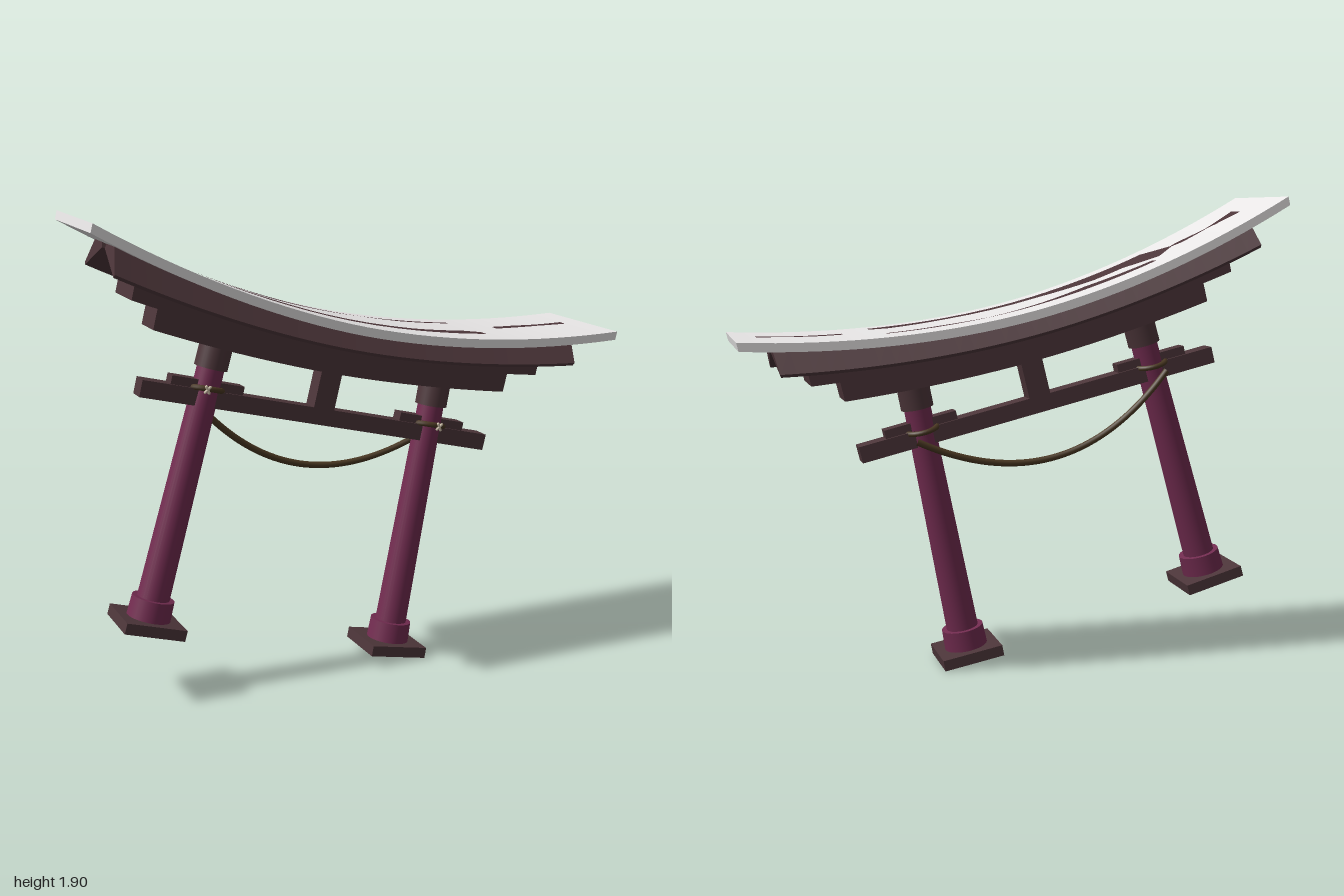
import * as THREE from 'three';

const mat = (name, color) => Object.assign(new THREE.MeshStandardMaterial({ color }), { name });

export function createModel() {
  const timber = mat('dark timber', 0x4d363a);
  const lacquer = mat('plum lacquer', 0x722c50);
  const slate = mat('pale roof', 0xebe9e9);
  const straw = mat('rope brown', 0x4a3822);
  const cream = mat('cream cord', 0xc9bba4);

  const gate = new THREE.Group();
  gate.name = 'gate';
  const add = (name, geometry, material, x = 0, y = 0, z = 0, parent = gate) => {
    const m = new THREE.Mesh(geometry, material);
    m.name = name;
    m.position.set(x, y, z);
    parent.add(m);
    return m;
  };
  const box = (name, x, y, z, w, h, d) => add(name, new THREE.BoxGeometry(w, h, d), timber, x, y, z);

  // Upward sweep shared by the roof and the beams under it
  const sweep = (x, rise) => rise * Math.pow(Math.abs(x) / 1.13, 1.9);

  // Section (depth, height) run along the gate and bent upward at the ends
  function curvedBeam(name, section, half, rise, material) {
    const shape = new THREE.Shape(section.map(([c, b]) => new THREE.Vector2(c, b)));
    const g = new THREE.ExtrudeGeometry(shape, { depth: 2 * half, steps: 32, bevelEnabled: false });
    g.translate(0, 0, -half).rotateY(Math.PI / 2);
    const p = g.attributes.position;
    for (let i = 0; i < p.count; i++) p.setY(i, p.getY(i) + sweep(p.getX(i), rise));
    g.computeVertexNormals();
    return add(name, g, material);
  }
  const rect = (w, y0, y1) => [[-w, y0], [w, y0], [w, y1], [-w, y1]];

  // Roof and stacked beams
  curvedBeam('roofSlab', rect(0.265, 1.285, 1.32), 1.13, 0.176, slate);
  curvedBeam('upperBeam', rect(0.11, 1.18, 1.3), 0.89, 0.1, timber);
  curvedBeam('lowerBeam', rect(0.075, 1.1, 1.19), 0.775, 0.095, timber);
  // Planks sloping down to either side under the roof
  const plank = [[0.02, 1.295], [0.2, 1.208], [0.208, 1.22], [0.135, 1.314], [0.03, 1.314]];
  for (const side of [-1, 1]) {
    curvedBeam('slopedPlank', plank.map(([c, b]) => [c * side, b]), 1.0, 0.14, timber);
  }

  // Dark timber showing through the roof: sections of [along, back edge, front edge]
  function roofPatch(sections) {
    const pos = [], idx = [];
    const row = (a, c0, c1) => {
      const y = 1.324 + sweep(a, 0.176);
      pos.push(a, y, c0, a, y, c1);
    };
    sections.forEach((s, i) => {
      const n = sections[i + 1];
      if (!n) return row(...s);
      for (let k = 0; k < 4; k++) row(...s.map((v, j) => v + ((n[j] - v) * k) / 4));
    });
    for (let i = 0; i < pos.length / 3 - 2; i += 2) idx.push(i, i + 1, i + 2, i + 1, i + 3, i + 2);
    const g = new THREE.BufferGeometry();
    g.setAttribute('position', new THREE.Float32BufferAttribute(pos, 3));
    g.setIndex(idx);
    g.computeVertexNormals();
    add('roofPatch', g, timber);
  }
  roofPatch([[-1.01, -0.046, 0.05], [-0.86, -0.008, 0.002], [-0.74, -0.022, 0.03], [-0.7, 0, 0.018],
    [-0.61, -0.08, 0.15], [-0.48, 0.02, 0.148], [-0.34, 0.008, 0.148], [-0.11, 0.078, 0.148],
    [0.28, 0.092, 0.148], [0.52, 0.068, 0.146], [0.59, 0.1, 0.144]]);
  roofPatch([[-0.57, -0.148, -0.106], [-0.28, -0.148, -0.068], [-0.08, -0.148, -0.115],
    [0.15, -0.152, -0.149], [0.33, -0.15, -0.12], [0.56, -0.15, -0.128]]);
  roofPatch([[0.71, -0.03, 0.015], [0.82, -0.04, 0.005], [0.92, -0.03, 0], [1.04, -0.03, 0.012]]);

  // Tie beam and centre strut
  box('tieBeam', 0, 0.917, 0, 1.53, 0.067, 0.08);
  box('centreStrut', 0, 1.03, 0, 0.09, 0.17, 0.08);

  for (const side of [-1, 1]) {
    // Leaning leg with its foot, sleeve and capital
    const leg = new THREE.Group();
    leg.name = 'leg';
    leg.position.set(0.539 * side, 0, 0.012);
    leg.rotation.set(-0.011, 0, 0.044 * side);
    gate.add(leg);
    const round = (name, r0, r1, y0, y1, m) =>
      add(name, new THREE.CylinderGeometry(r1, r0, y1 - y0, 32), m, 0, (y0 + y1) / 2, 0, leg);
    add('footPlate', new THREE.BoxGeometry(0.25, 0.044, 0.25), timber, 0, -0.004, 0, leg);
    round('footSleeve', 0.088, 0.085, 0.018, 0.1, lacquer);
    round('pillar', 0.066, 0.054, 0.018, 1.05, lacquer);
    round('capital', 0.066, 0.066, 1.035, 1.125, timber);

    // Wedges over the tie beam
    box('wedge', 0.5 * side, 0.967, 0, 0.3, 0.036, 0.06);

    // Rope loop round the leg, with a cream knot in front
    const loop = add('ropeLoop', new THREE.TorusGeometry(0.067, 0.011, 8, 32), straw, 0.498 * side, 0.95, 0);
    loop.rotation.x = Math.PI / 2 - 0.15;
    for (const tilt of [-0.6, 0.6]) {
      const knot = add('knot', new THREE.CapsuleGeometry(0.006, 0.028, 4, 8), cream, 0.515 * side, 0.957, 0.076);
      knot.rotation.z = tilt;
    }
  }

  // Hanging rope behind the legs
  const pts = [];
  for (let i = -8; i <= 8; i++) {
    const a = (i / 8) * 0.54;
    pts.push(new THREE.Vector3(a, 0.696 + 0.745 * a * a, -0.072));
  }
  add('hangingRope', new THREE.TubeGeometry(new THREE.CatmullRomCurve3(pts), 48, 0.0135, 8), straw);

  // The whole gate is turned and tipped to one side
  gate.rotation.set(0, 0.7278, -0.2409);
  gate.position.set(-0.261, 0.183, 0.233);
  const model = new THREE.Group();
  model.name = 'tiltedGate';
  model.add(gate);
  return model;
}
